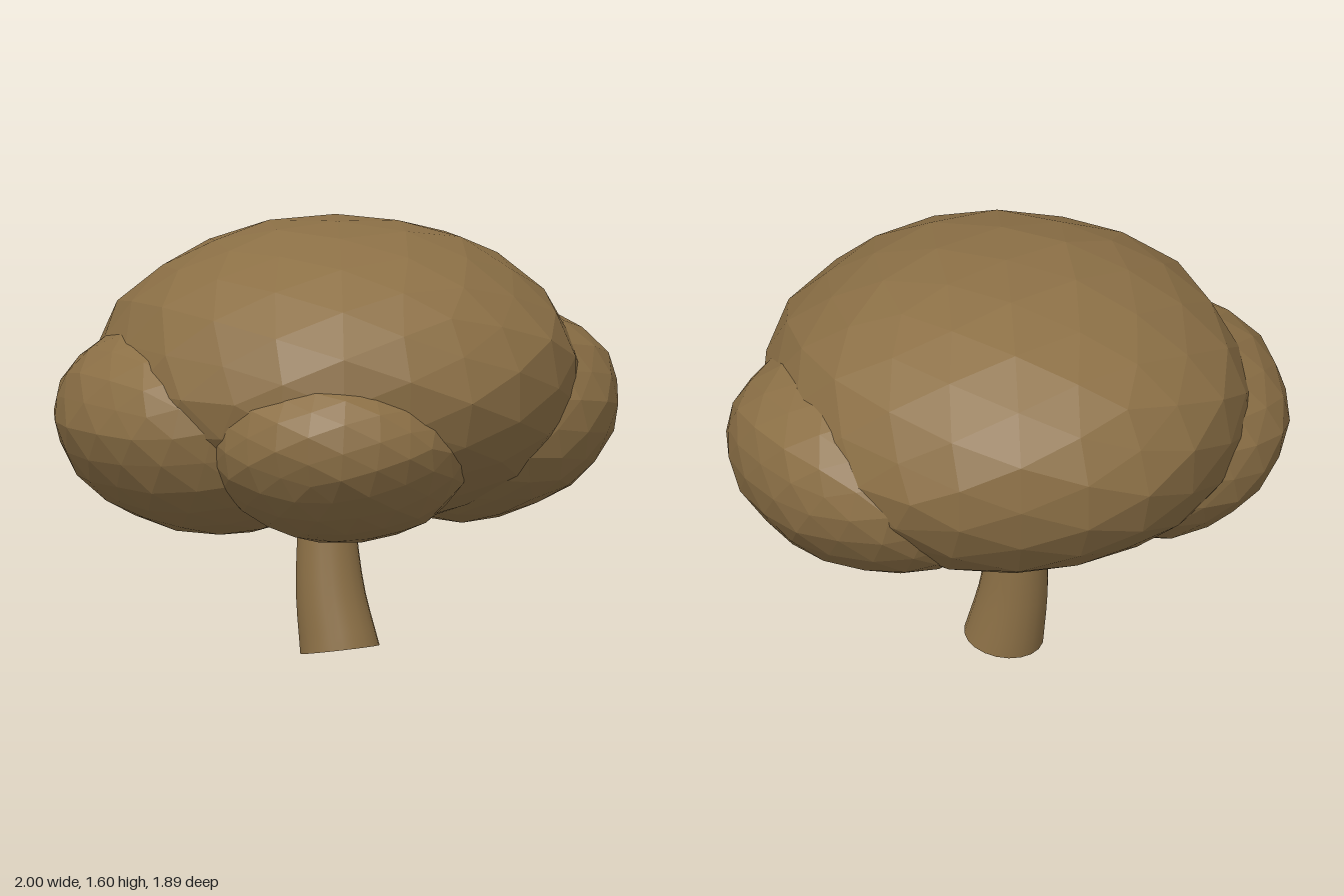
import * as THREE from 'three';

const brown = new THREE.MeshStandardMaterial({ color: 0x8c7046 });
brown.name = 'brown';
brown.flatShading = true;
const bark = brown.clone();
bark.name = 'bark';
bark.flatShading = false;
bark.side = THREE.DoubleSide;

// faceted ellipsoid, roughened by a rule of its directions, then turned
function foliage(name, centre, radii, seed, rotation) {
  const geo = new THREE.IcosahedronGeometry(1, 3);
  const p = geo.attributes.position;
  const v = new THREE.Vector3();
  for (let i = 0; i < p.count; i++) {
    v.fromBufferAttribute(p, i);
    const bump = Math.sin(v.x * 7 + seed) * Math.sin(v.y * 8 + seed * 2) + Math.sin(v.z * 9 + v.x * 4 + seed * 3) * 0.6;
    v.multiplyScalar(1.007 + bump * 0.013);
    p.setXYZ(i, v.x * radii[0], v.y * radii[1], v.z * radii[2]);
  }
  geo.computeVertexNormals();
  const mesh = new THREE.Mesh(geo, brown);
  mesh.name = name;
  mesh.position.set(...centre);
  mesh.rotation.set(...rotation);
  return mesh;
}

// open, tapered trunk that bends along a curve, with a slanted foot
function trunk() {
  const path = new THREE.CatmullRomCurve3([
    new THREE.Vector3(0.02, 0.03, -0.045),
    new THREE.Vector3(-0.02, 0.25, -0.06),
    new THREE.Vector3(-0.037, 0.5, -0.078),
    new THREE.Vector3(-0.04, 0.75, -0.085),
  ]);
  const geo = new THREE.CylinderGeometry(0.085, 0.145, 1, 20, 10, true);
  const p = geo.attributes.position;
  for (let i = 0; i < p.count; i++) {
    const x = p.getX(i), z = p.getZ(i), t = p.getY(i) + 0.5;
    const c = path.getPoint(THREE.MathUtils.clamp(t, 0, 1));
    p.setXYZ(i, c.x + x, c.y + (x * 0.14 + z * 0.1) * (1 - t), c.z + z);
  }
  geo.computeVertexNormals();
  // keep the seam smooth
  const n = geo.attributes.normal, row = 21;
  for (let r = 0; r <= 10; r++) {
    const a = r * row, b = a + 20;
    const m = new THREE.Vector3().fromBufferAttribute(n, a).add(new THREE.Vector3().fromBufferAttribute(n, b)).normalize();
    n.setXYZ(a, m.x, m.y, m.z);
    n.setXYZ(b, m.x, m.y, m.z);
  }
  const mesh = new THREE.Mesh(geo, bark);
  mesh.name = 'trunk';
  return mesh;
}

export function createModel() {
  const tree = new THREE.Group();
  tree.name = 'tree';
  const diagonal = Math.PI / 4;
  const lift = 0.26; // the side crowns rise towards their outer edge
  tree.add(
    trunk(),
    foliage('mainCrown', [0.01, 1.055, -0.05], [0.875, 0.56, 0.905], 1.3, [0, diagonal, 0]),
    foliage('rightCrown', [-0.45, 0.87, 0.2], [0.515, 0.38, 0.59], 2.1, [0, diagonal, -lift]),
    foliage('leftCrown', [0.455, 0.89, -0.325], [0.515, 0.385, 0.58], 4.4, [0, diagonal, lift]),
    foliage('frontCrown', [0.125, 0.835, 0.46], [0.475, 0.325, 0.5], 5.7, [-lift, 0, 0]),
  );
  return tree;
}
